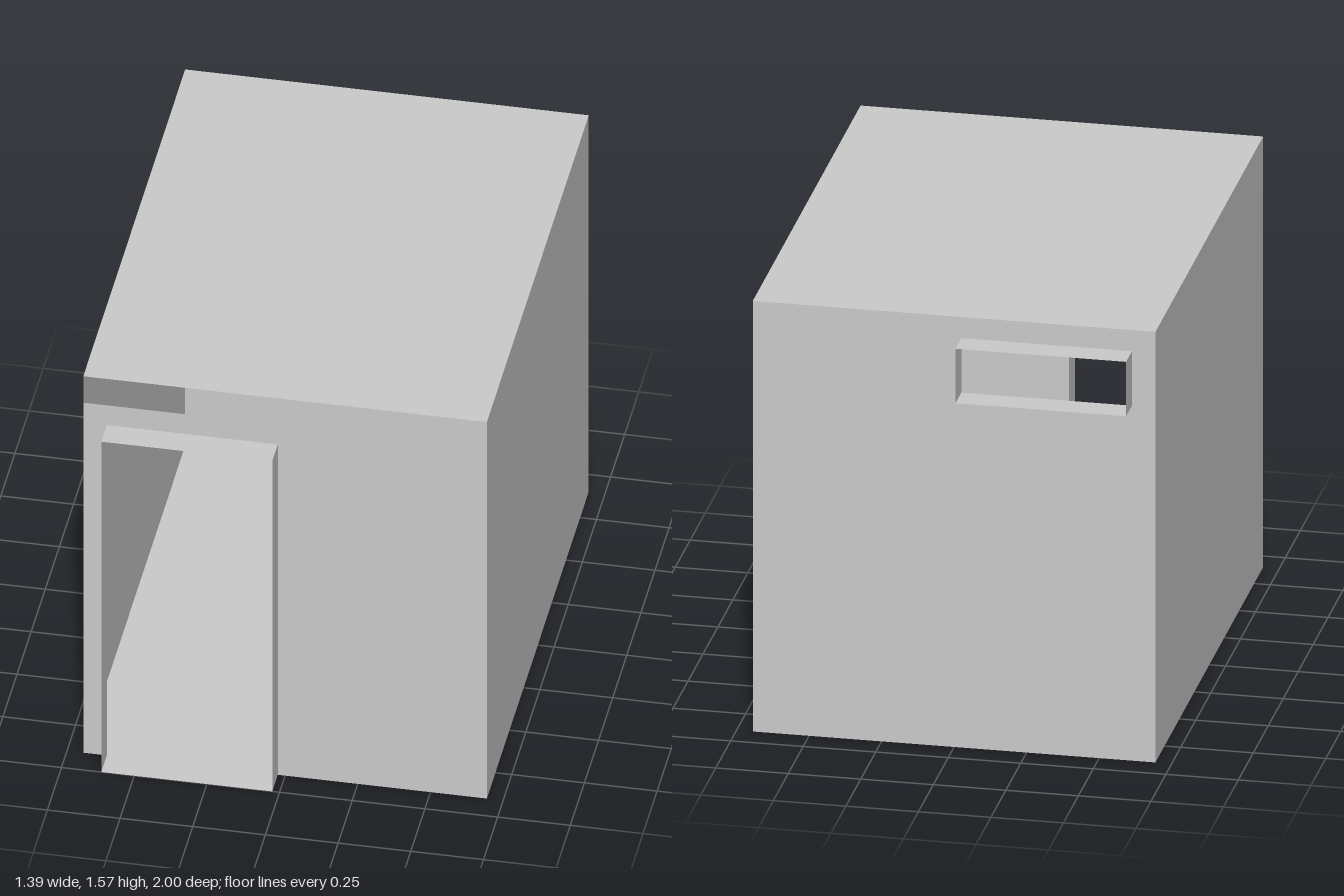
import * as THREE from 'three';

const W = 0.694, H = 1.567, D = 0.902; // half width, height, half depth of the room
const END = 1;                         // z reached by the door and window sleeves
const FRONT_H = 1.457;                 // front wall stops short of the roof
const X0 = -0.613, X1 = -0.025;        // shared sides of the door and window
const DOOR = [0, 1.375], WINDOW = [1.292, 1.49];

const material = new THREE.MeshStandardMaterial({ color: 0xcccccc, side: THREE.DoubleSide });

function mesh(name, geometry) {
  const m = new THREE.Mesh(geometry, material);
  m.name = name;
  return m;
}

// Thin rectangular sheet, turned about x or y and then placed
function sheet(name, w, h, rx, ry, x, y, z) {
  const m = mesh(name, new THREE.PlaneGeometry(w, h));
  m.rotation.set(rx, ry, 0);
  m.position.set(x, y, z);
  return m;
}

function rectPoints(x0, y0, x1, y1) {
  return [[x0, y0], [x1, y0], [x1, y1], [x0, y1]].map(([x, y]) => new THREE.Vector2(x, y));
}

// Four thin sides running outward from an opening, open at both ends
function sleeve(name, [y0, y1], side) {
  const g = new THREE.Group();
  g.name = name;
  const depth = END - D, z = side * (D + END) / 2;
  const xm = (X0 + X1) / 2, ym = (y0 + y1) / 2, q = Math.PI / 2;
  g.add(
    sheet(name + 'Bottom', X1 - X0, depth, q, 0, xm, y0, z),
    sheet(name + 'Top', X1 - X0, depth, -q, 0, xm, y1, z),
    sheet(name + 'RightSide', depth, y1 - y0, 0, -q, X0, ym, z),
    sheet(name + 'LeftSide', depth, y1 - y0, 0, q, X1, ym, z)
  );
  return g;
}

export function createModel() {
  const model = new THREE.Group();
  model.name = 'room';
  const q = Math.PI / 2;

  // Floor, roof and side walls
  model.add(
    sheet('floor', 2 * W, 2 * D, q, 0, 0, 0, 0),
    sheet('roof', 2 * W, 2 * D, -q, 0, 0, H, 0),
    sheet('leftWall', 2 * D, H, 0, q, W, H / 2, 0),
    sheet('rightWall', 2 * D, H, 0, -q, -W, H / 2, 0)
  );

  // Front wall: notched by the doorway, with an open slot below the roof
  const front = new THREE.Shape([
    [-W, 0], [X0, 0], [X0, DOOR[1]], [X1, DOOR[1]], [X1, 0], [W, 0], [W, FRONT_H], [-W, FRONT_H],
  ].map(([x, y]) => new THREE.Vector2(x, y)));
  const frontWall = mesh('frontWall', new THREE.ShapeGeometry(front));
  frontWall.position.z = D;

  // Back wall with the window hole, its normals turned outward
  const back = new THREE.Shape(rectPoints(-W, 0, W, H));
  back.holes.push(new THREE.Path(rectPoints(-X1, WINDOW[0], -X0, WINDOW[1])));
  const backWall = mesh('backWall', new THREE.ShapeGeometry(back));
  backWall.rotation.y = Math.PI;
  backWall.position.z = -D;

  model.add(frontWall, backWall, sleeve('doorFrame', DOOR, 1), sleeve('windowFrame', WINDOW, -1));
  return model;
}
